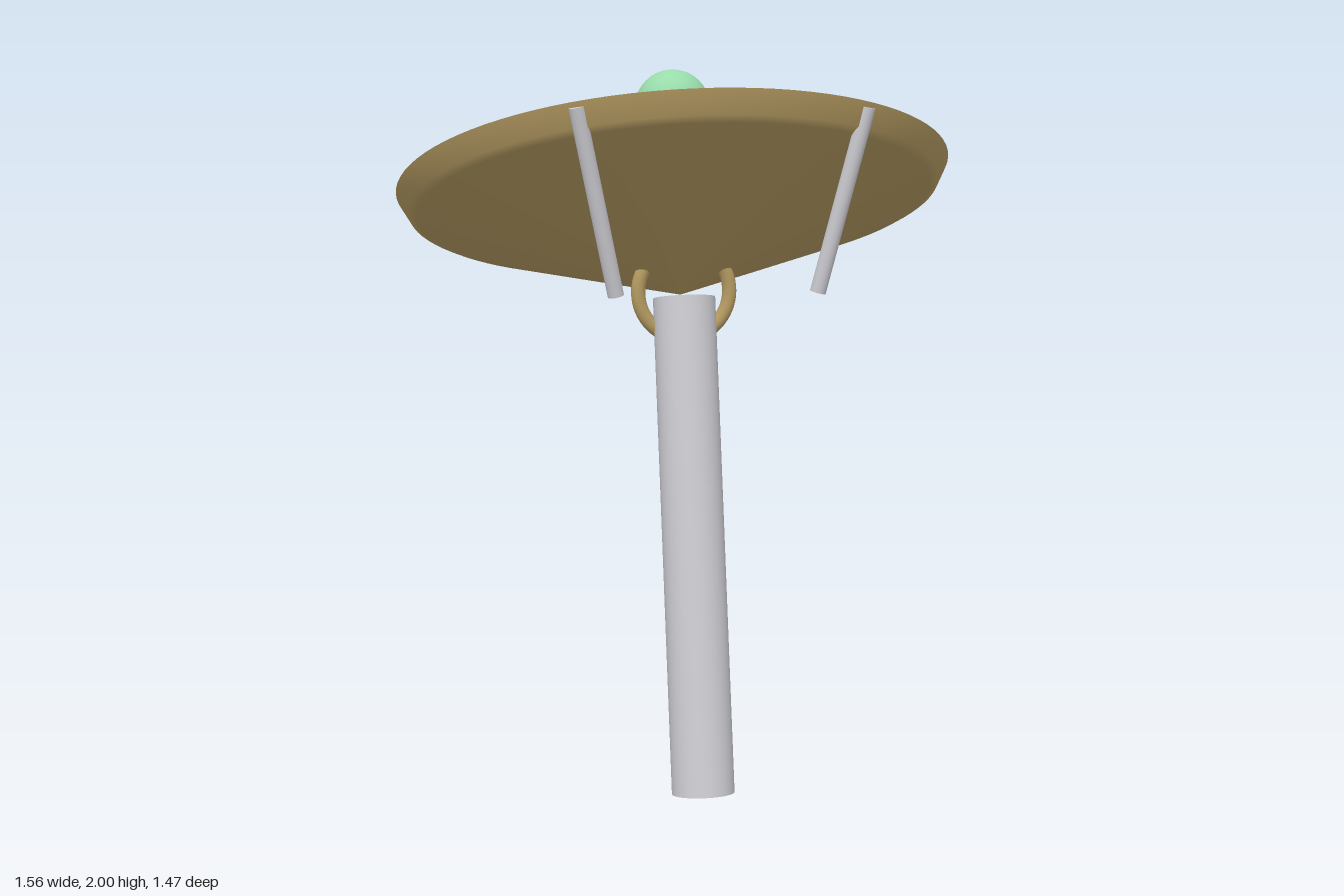
import * as THREE from 'three';

const mat = (name, color, side = THREE.FrontSide) => {
  const m = new THREE.MeshStandardMaterial({ color, side });
  m.name = name;
  return m;
};

export function createModel() {
  const brass = mat('brass', 0xb59b62, THREE.DoubleSide);
  const steel = mat('steel', 0xcacad0);
  const green = mat('green', 0x98dbaa);

  const model = new THREE.Group();
  model.name = 'dishAntenna';

  const add = (parent, name, geometry, material, x = 0, y = 0, z = 0) => {
    const mesh = new THREE.Mesh(geometry, material);
    mesh.name = name;
    mesh.position.set(x, y, z);
    parent.add(mesh);
    return mesh;
  };

  // A round bar between two points
  const bar = (name, from, to, radius) => {
    const a = new THREE.Vector3(...from), b = new THREE.Vector3(...to);
    const dir = b.clone().sub(a);
    const mesh = add(model, name, new THREE.CylinderGeometry(radius, radius, dir.length(), 32), steel);
    mesh.position.copy(a).add(b).multiplyScalar(0.5);
    mesh.quaternion.setFromUnitVectors(new THREE.Vector3(0, 1, 0), dir.normalize());
  };

  const lathe = (points) =>
    new THREE.LatheGeometry(points.map(([r, h]) => new THREE.Vector2(r, h)), 96);

  // Shallow conical dish, tipped back; origin at the centre of its rim
  const dish = new THREE.Group();
  dish.name = 'dish';
  dish.position.set(0, 1.675, 0);
  dish.rotation.x = -THREE.MathUtils.degToRad(19.8);
  model.add(dish);
  add(dish, 'dishBack', lathe([[0, -0.32], [0.3, -0.217], [0.725, -0.07], [0.748, -0.058], [0.78, 0]]), brass);
  add(dish, 'dishBowl', lathe([[0.78, 0], [0.4, -0.122], [0, -0.25]]), brass);

  // Leaning mast and the feed arm with its ball
  bar('mast', [0, 0.017, 0.415], [0, 1.37, 0.157], 0.087);
  bar('feedArm', [0, 1.42, 0.085], [0, 1.86, 0.006], 0.026);
  add(model, 'feedBall', new THREE.SphereGeometry(0.107, 48, 32), green, 0, 1.893, 0);

  // Ring that couples the mast to the dish
  add(model, 'mountRing', new THREE.TorusGeometry(0.13, 0.02, 20, 64), brass, 0, 1.387, 0.155);

  // Struts hanging from the raised edge
  for (const s of [-1, 1]) {
    bar(s > 0 ? 'leftStrut' : 'rightStrut', [s * 0.267, 1.418, 0.57], [s * 0.374, 1.893, 0.633], 0.021);
  }
  return model;
}
